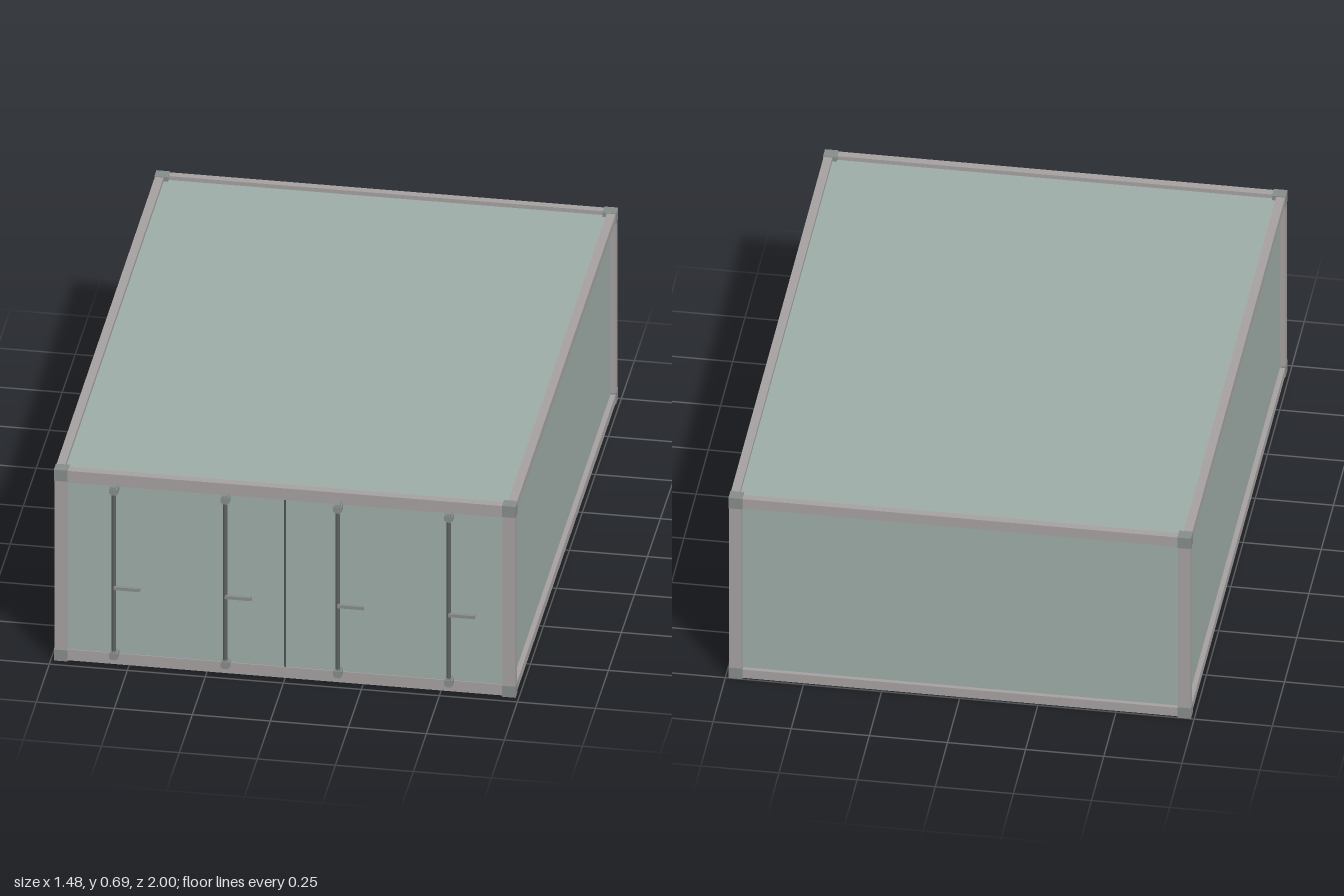
import * as THREE from 'three';

const mat = (color) => new THREE.MeshStandardMaterial({ color });

export function createModel() {
  const group = new THREE.Group();
  group.name = 'container';
  const panel = mat(0x9daca6), frame = mat(0xa5a0a0), casting = mat(0x868c8a);
  const rodMat = mat(0x5c6160), dark = mat(0x4a5256);

  // Box given by its extents along each axis
  const box = (name, [x0, x1], [y0, y1], [z0, z1], material, parent = group) => {
    const m = new THREE.Mesh(new THREE.BoxGeometry(x1 - x0, y1 - y0, z1 - z0), material);
    m.position.set((x0 + x1) / 2, (y0 + y1) / 2, (z0 + z1) / 2);
    m.name = name;
    parent.add(m);
    return m;
  };
  const span = (center, size) => [center - size / 2, center + size / 2];

  const X = 0.738, H = 0.69, ZB = -0.998, ZF = 0.972;

  // Recessed walls, roof and floor as one closed body
  box('body', [-X + 0.016, X - 0.016], [0.014, H - 0.016], [ZB + 0.015, ZF - 0.02], panel);

  // Two doors with a dark seam between them
  for (const s of [-1, 1])
    box(s < 0 ? 'rightDoor' : 'leftDoor', s < 0 ? [-0.697, -0.003] : [0.003, 0.697],
      [0.042, 0.647], [ZF - 0.03, ZF - 0.004], panel);
  box('doorSeam', [-0.003, 0.003], [0.042, 0.647], [ZF - 0.03, ZF - 0.003], dark);

  // Frame: side rails and corner posts
  for (const s of [-1, 1]) {
    const side = s < 0 ? [-X, -X + 0.028] : [X - 0.028, X];
    box('lowerSideRail', side, [0.003, 0.035], [ZB + 0.03, ZF - 0.03], frame);
    box('upperSideRail', side, [H - 0.032, H - 0.002], [ZB + 0.03, ZF - 0.03], frame);
    const front = s < 0 ? [-X, -X + 0.04] : [X - 0.04, X];
    box('frontPost', front, [0.03, H - 0.03], [ZF - 0.034, ZF - 0.001], frame);
    box('backPost', front, [0.03, H - 0.03], [ZB + 0.001, ZB + 0.036], frame);
  }

  // Frame: cross rails at the front and back
  const across = [-X + 0.03, X - 0.03];
  box('frontSill', across, [0.003, 0.042], [ZF - 0.028, ZF - 0.001], frame);
  box('frontHeader', across, [H - 0.044, H - 0.002], [ZF - 0.028, ZF - 0.001], frame);
  box('backSill', across, [0.003, 0.035], [ZB + 0.001, ZB + 0.026], frame);
  box('backHeader', across, [H - 0.038, H - 0.002], [ZB + 0.001, ZB + 0.026], frame);

  // Eight corner castings
  for (const s of [-1, 1])
    for (const y of [[0, 0.04], [H - 0.04, H]])
      for (const z of [[ZB - 0.002, ZB + 0.038], [ZF - 0.038, ZF + 0.002]])
        box('cornerCasting', s < 0 ? [-X - 0.002, -X + 0.042] : [X - 0.042, X + 0.002], y, z, casting);

  // Locking bars with end brackets and a handle
  for (const x of [-0.545, -0.188, 0.172, 0.528]) {
    const bar = new THREE.Group();
    bar.name = 'lockingBar';
    bar.position.x = x;
    group.add(bar);
    const rod = new THREE.Mesh(new THREE.CylinderGeometry(0.007, 0.007, 0.615, 12), rodMat);
    rod.position.set(0, 0.345, 0.988);
    rod.name = 'rod';
    bar.add(rod);
    for (const y of [0.046, 0.641]) {
      box('bracket', span(0, 0.028), span(y, 0.018), [ZF - 0.004, 0.998], casting, bar);
      box('bracketCollar', span(0, 0.018), span(y, 0.03), [ZF - 0.004, 0.996], casting, bar);
    }
    box('handle', [0, 0.085], span(0.292, 0.011), [0.988, 1], casting, bar);
  }
  return group;
}
